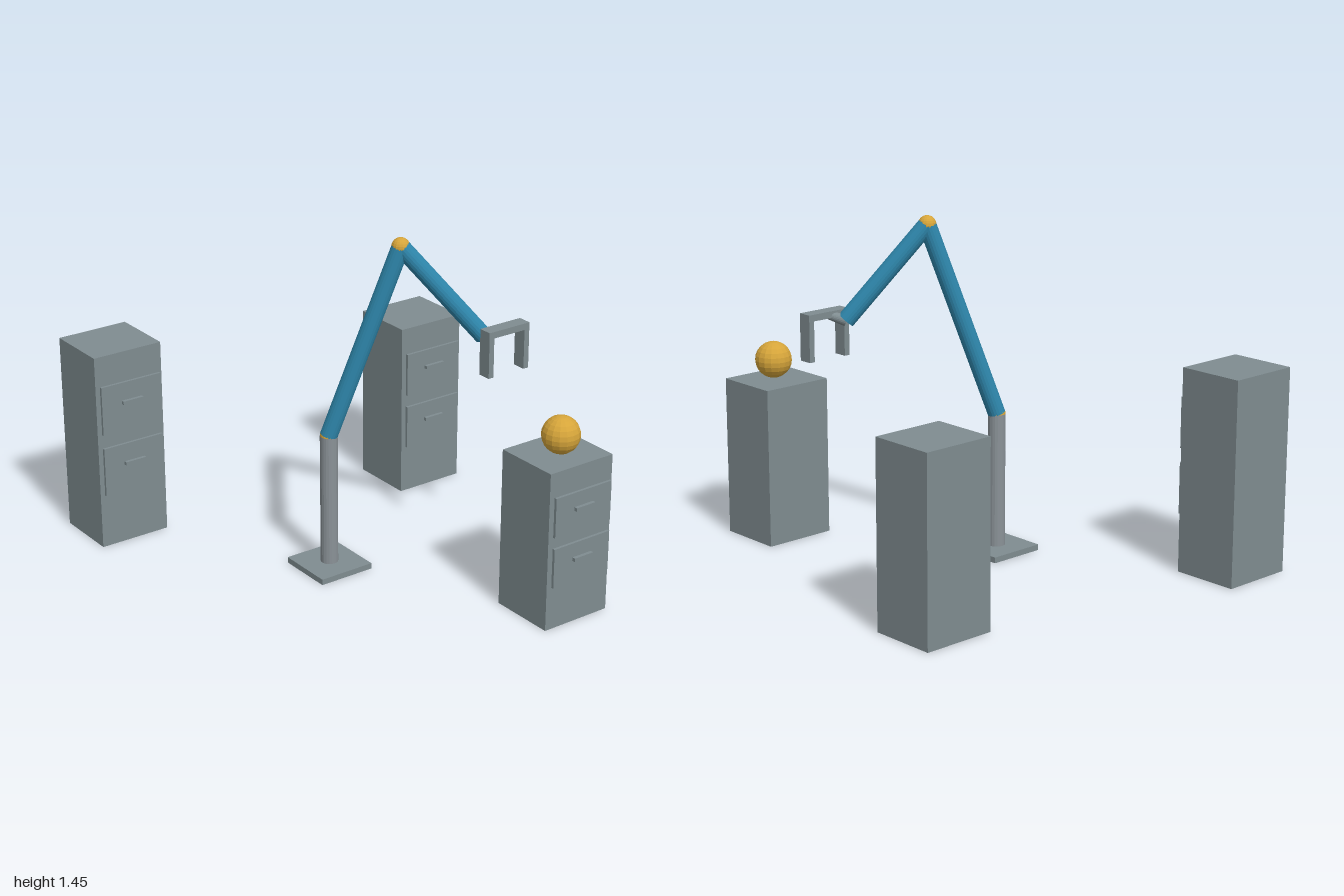
import * as THREE from 'three';

const mat = (name, color) => {
  const m = new THREE.MeshStandardMaterial({ color });
  m.name = name;
  m.flatShading = true;
  return m;
};

export function createModel() {
  const grey = mat('cabinet grey', 0x7f8c90);
  const steel = mat('column grey', 0x8a9297);
  const blue = mat('arm blue', 0x2e86ab);
  const yellow = mat('joint yellow', 0xd6a53a);
  const model = new THREE.Group();
  model.name = 'robotArmWithCabinets';

  const add = (parent, name, geometry, material, x, y, z) => {
    const mesh = new THREE.Mesh(geometry, material);
    mesh.name = name;
    mesh.position.set(x, y, z);
    parent.add(mesh);
    return mesh;
  };
  const box = (parent, name, material, w, h, d, x, y, z) =>
    add(parent, name, new THREE.BoxGeometry(w, h, d), material, x, y, z);

  // Cylinder running from point a to point b
  const rod = (parent, name, material, a, b, r0, r1 = r0) => {
    const dir = b.clone().sub(a);
    const mid = a.clone().add(b).multiplyScalar(0.5);
    const mesh = add(parent, name, new THREE.CylinderGeometry(r1, r0, dir.length(), 20), material, mid.x, mid.y, mid.z);
    mesh.quaternion.setFromUnitVectors(new THREE.Vector3(0, 1, 0), dir.normalize());
  };
  const ball = (parent, name, r, p) =>
    add(parent, name, new THREE.SphereGeometry(r, 16, 12), yellow, p.x, p.y, p.z);

  // Two-drawer cabinet; drawer heights scale with the cabinet
  const cabinet = (name, x, z, h) => {
    const g = new THREE.Group();
    g.name = name;
    g.position.set(x, 0, z);
    model.add(g);
    box(g, 'cabinetBody', grey, 0.32, h, 0.29, 0, h / 2, 0);
    for (const level of [0.405, 0.726]) {
      box(g, 'drawerFront', grey, 0.286, h * 0.25, 0.012, 0, h * level, 0.159);
      box(g, 'drawerHandle', grey, 0.097, 0.015, 0.015, 0, h * (level + 0.025), 0.1725);
    }
  };
  cabinet('tallCabinet', -0.682, -0.855, 0.87);
  cabinet('middleCabinet', 0.68, -0.543, 0.78);
  cabinet('shortCabinet', 0.364, 0.82, 0.687);
  ball(model, 'ball', 0.079, new THREE.Vector3(0.364, 0.768, 0.836));

  // Arm: base, column, two links and joints
  const arm = new THREE.Group();
  arm.name = 'robotArm';
  model.add(arm);
  const foot = new THREE.Vector3(-0.16, 0.024, 0);
  const shoulder = new THREE.Vector3(-0.16, 0.6, 0);
  const elbow = new THREE.Vector3(0.086, 1.412, 0.155);
  const wrist = new THREE.Vector3(0.368, 1.025, 0.34);
  const palm = new THREE.Vector3(0.439, 1.054, 0.39);
  box(arm, 'basePlate', grey, 0.252, 0.025, 0.252, -0.16, 0.0125, 0);
  rod(arm, 'column', steel, foot, shoulder, 0.037);
  rod(arm, 'upperArm', blue, shoulder, elbow, 0.037);
  rod(arm, 'forearm', blue, elbow, wrist, 0.037);
  ball(arm, 'shoulderJoint', 0.037, shoulder);
  ball(arm, 'elbowJoint', 0.038, elbow);
  rod(arm, 'wristLink', grey, wrist, palm, 0.025, 0.015);

  // Gripper: palm bar with two fingers
  const gripper = new THREE.Group();
  gripper.name = 'gripper';
  gripper.position.copy(palm);
  arm.add(gripper);
  box(gripper, 'palmBar', grey, 0.208, 0.028, 0.06, 0, 0, 0);
  for (const s of [-1, 1]) box(gripper, 'finger', grey, 0.025, 0.17, 0.06, s * 0.0915, -0.099, 0);

  return model;
}
